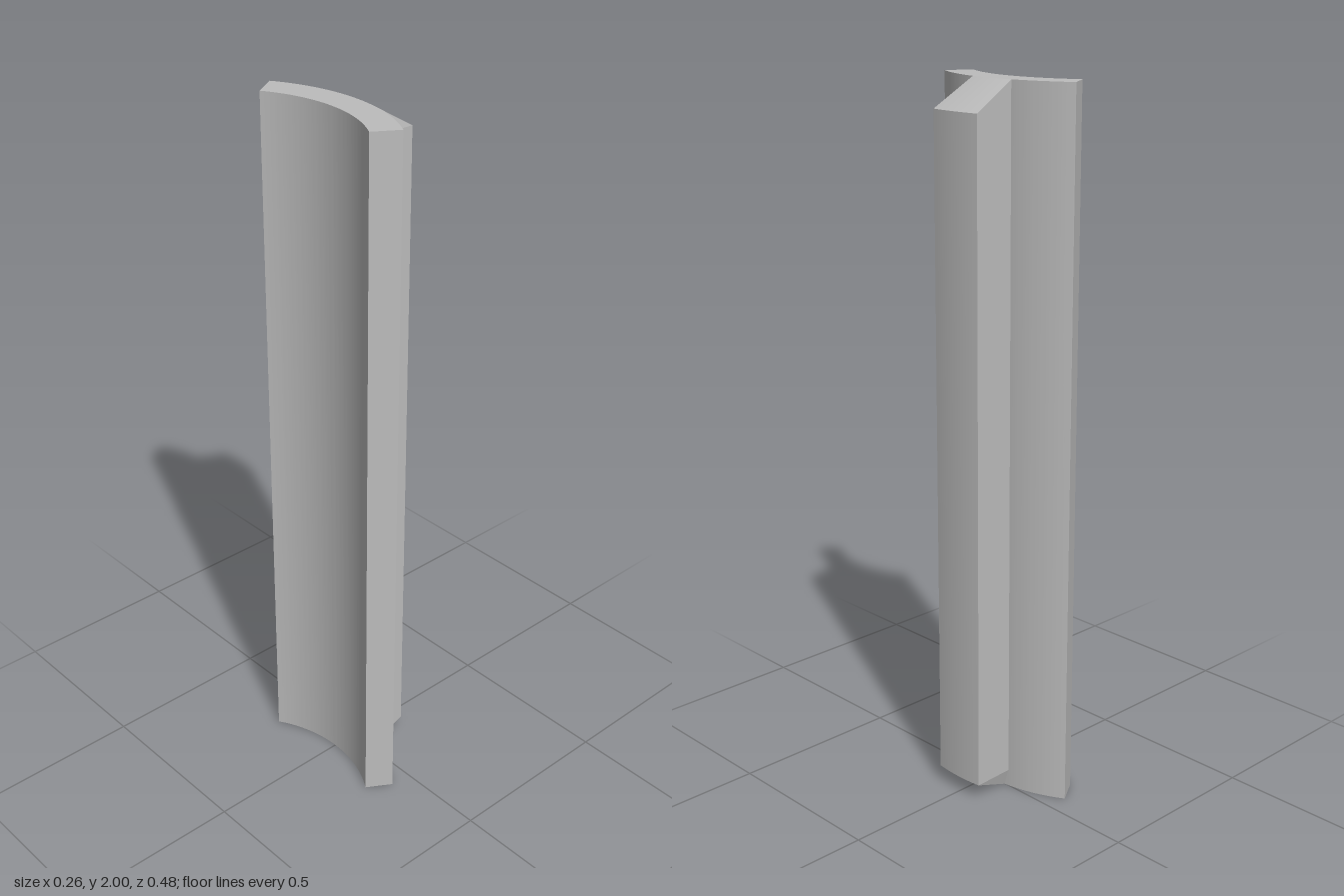
import * as THREE from 'three';
import { toCreasedNormals } from 'three/addons/utils/BufferGeometryUtils.js';

const CX = -0.445;               // shared axis of all the arcs
const R_IN = 0.372, R_OUT = 0.452, R_RIB = 0.574;
const HALF = THREE.MathUtils.degToRad(32.15);

// point on an arc about the shared axis, at depth z
const onArc = (r, y, z) => new THREE.Vector3(CX + Math.sqrt(r * r - z * z), y, z);

// row of arc points from z0 to z1
function arcRow(r, y, z0, z1, n = 12) {
  return Array.from({ length: n + 1 }, (_, i) => onArc(r, y, z0 + (z1 - z0) * i / n));
}

// surface between two rows of points, front side facing out
function strip(a, b, material, name) {
  const index = [], n = a.length;
  for (let i = 0; i < n - 1; i++) index.push(i, i + 1, n + i + 1, i, n + i + 1, n + i);
  const geo = new THREE.BufferGeometry().setFromPoints([...a, ...b]);
  geo.setIndex(index);
  geo.computeVertexNormals();
  const mesh = new THREE.Mesh(geo, material);
  mesh.name = name;
  return mesh;
}

export function createModel() {
  const grey = new THREE.MeshStandardMaterial({ color: 0xbcbcbc });
  grey.name = 'plain grey';
  const model = new THREE.Group();
  model.name = 'ribbedCurvedBar';

  // curved wall, extruded upwards
  const shape = new THREE.Shape();
  shape.absarc(CX, 0, R_OUT, -HALF, HALF, false);
  shape.absarc(CX, 0, R_IN, HALF, -HALF, true);
  shape.closePath();
  const wallGeo = new THREE.ExtrudeGeometry(shape, { depth: 2, bevelEnabled: false, curveSegments: 32 });
  wallGeo.rotateX(-Math.PI / 2);
  const wall = new THREE.Mesh(toCreasedNormals(wallGeo, 0.5), grey);
  wall.name = 'curvedWall';
  model.add(wall);

  // rib with sloping ends, each end narrowing at one corner of the wall
  const lo = 0.05, hi = 1.925, zi = 0.076, zo = 0.08, zn = 0.062;
  const rib = new THREE.Group();
  rib.name = 'rib';
  const add = (name, a, b) => rib.add(strip(a, b, grey, name));
  const outLow = arcRow(R_RIB, lo, zo, -zo), outHigh = arcRow(R_RIB, hi, zo, -zo);
  const inBottom = arcRow(R_OUT, 0, zi, -zn), inTop = arcRow(R_OUT, 2, zn, -zi);
  const inL = onArc(R_OUT, lo, zi), inH = onArc(R_OUT, hi, zi);
  const inL2 = onArc(R_OUT, lo, -zi), inH2 = onArc(R_OUT, hi, -zi);
  const oL = outLow[0], oH = outHigh[0], oL2 = outLow.at(-1), oH2 = outHigh.at(-1);
  add('ribOuterFace', outLow, outHigh);
  add('ribTopSlope', outHigh, inTop);
  add('ribBottomSlope', inBottom, outLow);
  add('ribFrontSide', [inL, oL], [inH, oH]);
  add('ribBackSide', [oL2, inL2], [oH2, inH2]);
  // triangles closing the sides at the sloping ends
  add('ribFrontTopCorner', [inH, oH], [inTop[0], oH]);
  add('ribFrontBottomCorner', [inBottom[0], oL], [inL, oL]);
  add('ribBackTopCorner', [oH2, inH2], [oH2, inTop.at(-1)]);
  add('ribBackBottomCorner', [oL2, inBottom.at(-1)], [oL2, inL2]);
  model.add(rib);

  return model;
}
